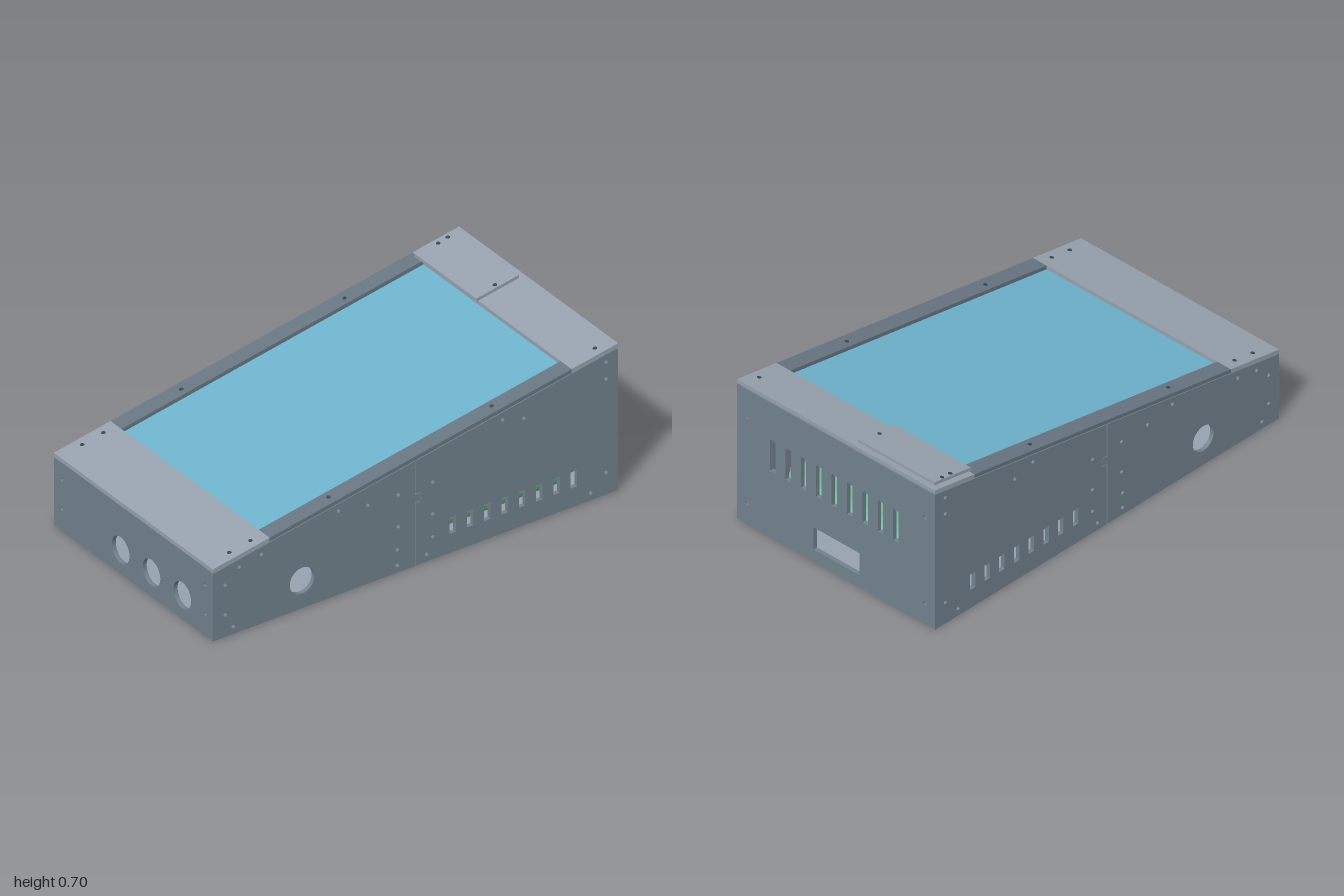
import * as THREE from 'three';
import { RoundedBoxGeometry } from 'three/addons/geometries/RoundedBoxGeometry.js';

const SLOPE = 0.176; // rise of the sloped top towards the back
const WALL = 0.02;
const HX = 0.55;

const paint = (name, color) => {
  const m = new THREE.MeshStandardMaterial({ color });
  m.name = name;
  return m;
};

export function createModel() {
  const body = paint('bodyGrey', 0x71818c);
  const plateGrey = paint('plateGrey', 0x97a2ae);
  const railGrey = paint('railGrey', 0x687683);
  const screenBlue = paint('screenBlue', 0x6db3cc);
  const boardGreen = paint('moduleGreen', 0x6db894);
  const backOrange = paint('backingOrange', 0xc8923f);
  const screwDark = paint('screwDark', 0x3c464e);
  const padWhite = paint('padWhite', 0xf2f4f4);

  const model = new THREE.Group();
  model.name = 'slopedConsole';

  const add = (name, geometry, material, x = 0, y = 0, z = 0) => {
    const mesh = new THREE.Mesh(geometry, material);
    mesh.name = name;
    mesh.position.set(x, y, z);
    model.add(mesh);
    return mesh;
  };

  const roundHole = (x, y, r) => {
    const p = new THREE.Path();
    p.absarc(x, y, r, 0, Math.PI * 2, true);
    return p;
  };
  const rectHole = (x0, x1, y0, y1) => new THREE.Path([
    [x0, y0], [x0, y1], [x1, y1], [x1, y0],
  ].map(([x, y]) => new THREE.Vector2(x, y)));
  const polygon = (points) => new THREE.Shape(points.map(([x, y]) => new THREE.Vector2(x, y)));
  const panel = (shape) => new THREE.ExtrudeGeometry(shape, { depth: WALL, bevelEnabled: false, curveSegments: 20 });

  // Box whose top and bottom follow the slope; y0 and y1 are heights at z = 0
  const slab = (name, material, x0, x1, z0, z1, y0, y1) => {
    const g = new THREE.BoxGeometry(x1 - x0, y1 - y0, z1 - z0);
    g.translate((x0 + x1) / 2, (y0 + y1) / 2, (z0 + z1) / 2);
    const p = g.attributes.position;
    for (let i = 0; i < p.count; i++) p.setY(i, p.getY(i) - SLOPE * p.getZ(i));
    g.computeVertexNormals();
    return add(name, g, material);
  };

  // Side walls: two halves joined by a small tab; profile x runs towards the back
  const top = (u) => 0.494 + SLOPE * u;
  const frontHalf = polygon([
    [-1, 0], [-0.002, 0], [-0.002, 0.3], [0.023, 0.3], [0.023, 0.335], [-0.002, 0.335],
    [-0.002, top(0)], [-1, top(-1)],
  ]);
  const backHalf = polygon([
    [0.002, 0], [1, 0], [1, top(1)], [0.002, top(0)],
    [0.002, 0.339], [0.027, 0.339], [0.027, 0.296], [0.002, 0.296],
  ]);
  const screwHoles = [
    [0.94, 0.245], [0.94, 0.105], [0.87, 0.305], [0.76, 0.325], [0.9, 0.035], [0.38, 0.395],
    [0.235, 0.37], [0.085, 0.365], [0.085, 0.215], [0.09, 0.108], [0.09, 0.035],
    [-0.085, 0.365], [-0.085, 0.215], [-0.085, 0.108], [-0.055, 0.035], [-0.43, 0.535],
    [-0.535, 0.505], [-0.94, 0.625], [-0.94, 0.545], [-0.94, 0.105], [-0.865, 0.035],
  ];
  for (const [z, y] of screwHoles) {
    (z > 0 ? frontHalf : backHalf).holes.push(roundHole(-z, y, 0.009));
  }
  frontHalf.holes.push(roundHole(-0.56, 0.13, 0.061));
  for (let i = 0; i < 8; i++) {
    const u = 0.183 + i * 0.0855;
    backHalf.holes.push(rectHole(u - 0.016, u + 0.016, 0.09, 0.166));
  }
  for (const [side, x] of [['right', HX - WALL], ['left', -HX]]) {
    add(side + 'WallFrontHalf', panel(frontHalf).rotateY(Math.PI / 2), body, x);
    add(side + 'WallBackHalf', panel(backHalf).rotateY(Math.PI / 2), body, x);
  }

  // Front wall with three button holes
  const inner = HX - WALL;
  const front = polygon([[-inner, 0], [inner, 0], [inner, 0.32], [-inner, 0.32]]);
  for (const x of [-0.088, 0.125, 0.338]) front.holes.push(roundHole(x, 0.112, 0.061));
  for (const x of [-0.495, 0.495]) {
    for (const y of [0.103, 0.24]) front.holes.push(roundHole(x, y, 0.009));
  }
  add('frontWall', panel(front), body, 0, 0, 1 - WALL);

  // Back wall with vents and a connector opening
  const back = polygon([[-inner, 0], [inner, 0], [inner, 0.668], [-inner, 0.668]]);
  for (let i = 0; i < 9; i++) {
    const x = -0.333 + i * 0.0855;
    back.holes.push(rectHole(x - 0.015, x + 0.015, 0.33, 0.485));
  }
  back.holes.push(rectHole(-0.13, 0.125, 0.06, 0.17));
  for (const x of [-0.495, 0.495]) {
    for (const y of [0.103, 0.53]) back.holes.push(roundHole(x, y, 0.009));
  }
  add('backWall', panel(back), body, 0, 0, -1);

  // Floor in two halves with four light pads underneath
  for (const s of [-1, 1]) {
    add('floorHalf', new THREE.BoxGeometry(inner * 2, 0.018, 0.978), plateGrey, 0, 0.014, s * 0.491);
    for (const z of [-0.75, -0.118]) {
      add('floorPad', new THREE.BoxGeometry(0.028, 0.004, 0.105), padWhite, s * 0.438, 0.004, z);
    }
  }

  // Sloped top: end plates, side rails and the sunken screen with its backing
  const Y0 = 0.498, Y1 = 0.516;
  slab('frontTopPlate', plateGrey, -HX, HX, 0.72, 1, Y0, Y1);
  slab('backTopPlate', plateGrey, -HX, HX, -1, -0.77, Y0, Y1);
  slab('leftRail', railGrey, -HX, -0.474, -0.77, 0.72, Y0, Y1);
  slab('rightRail', railGrey, 0.474, HX, -0.77, 0.72, Y0, Y1);
  slab('screen', screenBlue, -0.5, 0.5, -0.8, 0.75, 0.487, 0.4975);
  slab('screenBacking', backOrange, -0.5, 0.5, -0.8, 0.75, 0.465, 0.486);
  slab('coverPlate', plateGrey, -0.52, -0.095, -0.97, -0.76, Y1, 0.531);

  // Screws on the sloped top
  const screw = (x, z, y) => {
    const m = add('topScrew', new THREE.CylinderGeometry(0.009, 0.009, 0.004, 14), screwDark, x, y - SLOPE * z, z);
    m.rotation.x = Math.atan(SLOPE);
  };
  for (const z of [-0.405, 0.4, 0.785, 0.89]) {
    for (const x of [-0.508, 0.508]) screw(x, z, Y1);
  }
  screw(0.508, -0.915, Y1);
  for (const [x, z] of [[-0.508, -0.915], [-0.505, -0.865], [-0.113, -0.865]]) screw(x, z, 0.531);

  // Rounded module inside, seen through the vents
  add('innerModule', new RoundedBoxGeometry(0.94, 0.17, 0.76, 5, 0.08), boardGreen, 0, 0.122, -0.48);

  return model;
}
